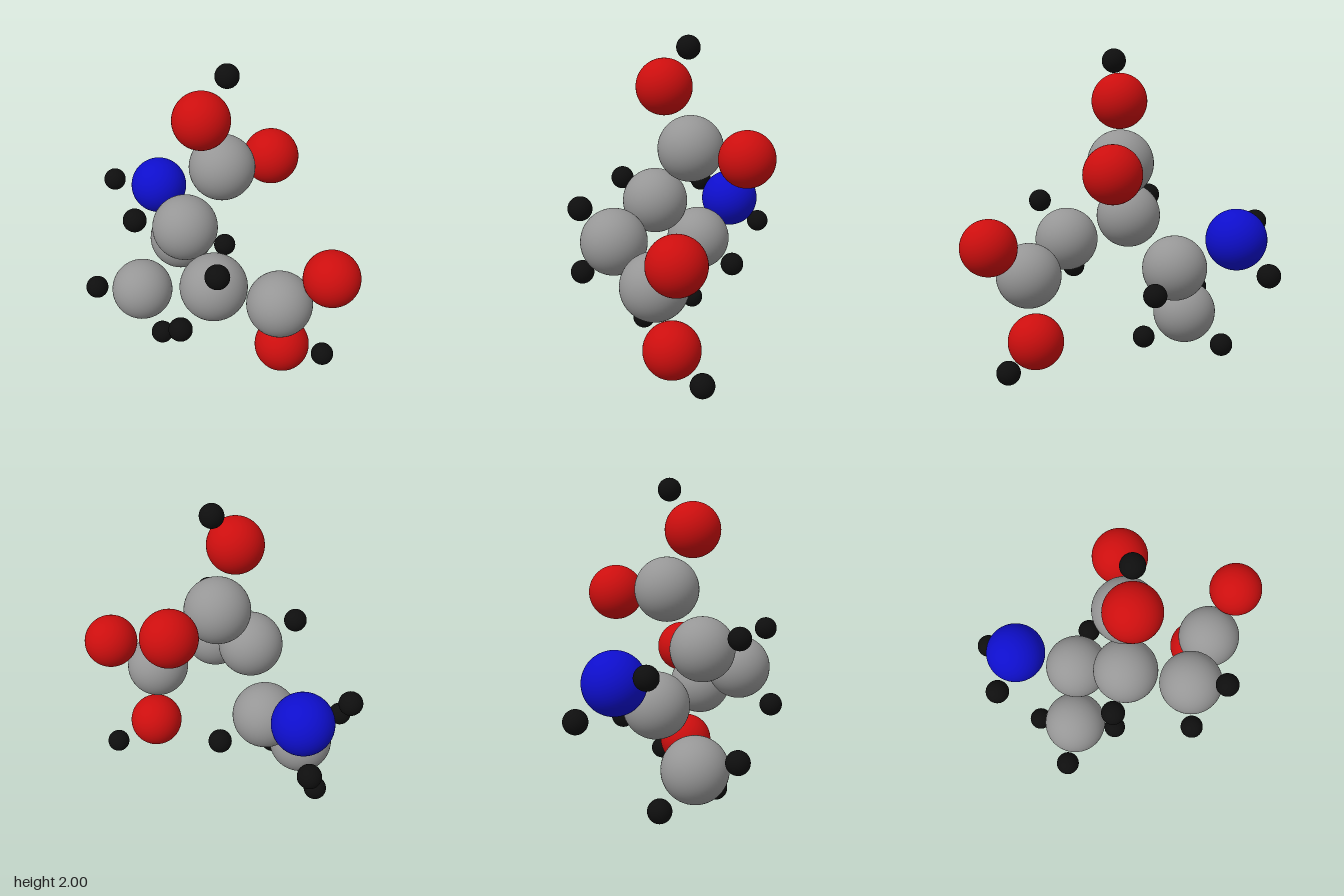
import * as THREE from 'three';

// radius and colour of each kind of atom
const KINDS = {
  carbon: { radius: 0.205, color: 0x969696 },
  oxygen: { radius: 0.175, color: 0xcc0e0e },
  nitrogen: { radius: 0.19, color: 0x0e0ecc },
  hydrogen: { radius: 0.073, color: 0x0e0e0e },
};

// atom centres, grouped by the part of the molecule they belong to
const PARTS = {
  upperAcidGroup: [
    ['carbon', 0.01, 1.31, -0.10],
    ['oxygen', 0.03, 1.685, 0.07],
    ['oxygen', 0.025, 1.275, -0.475],
    ['hydrogen', 0.05, 1.93, -0.10],
  ],
  centralGroup: [
    ['carbon', -0.02, 0.95, 0.16],
    ['hydrogen', -0.135, 1.05, 0.453],
  ],
  amineGroup: [
    ['carbon', -0.325, 0.64, -0.01],
    ['hydrogen', -0.215, 0.525, -0.297],
    ['nitrogen', -0.705, 0.84, -0.085],
    ['hydrogen', -0.835, 0.917, 0.187],
    ['hydrogen', -0.897, 0.643, -0.228],
  ],
  methylGroup: [
    ['carbon', -0.385, 0.29, 0.275],
    ['hydrogen', -0.463, 0.392, 0.577],
    ['hydrogen', -0.63, 0.097, 0.163],
    ['hydrogen', -0.115, 0.103, 0.293],
  ],
  methyleneGroup: [
    ['carbon', 0.395, 0.775, 0.238],
    ['hydrogen', 0.59, 1.015, 0.355],
    ['hydrogen', 0.38, 0.547, 0.472],
  ],
  sideAcidGroup: [
    ['carbon', 0.585, 0.60, -0.125],
    ['oxygen', 0.785, 0.815, -0.355],
    ['oxygen', 0.53, 0.20, -0.21],
    ['hydrogen', 0.655, 0.075, -0.458],
  ],
};

export function createModel() {
  const model = new THREE.Group();
  model.name = 'molecule';

  // one shared sphere and material per kind of atom
  const shared = {};
  for (const [kind, { radius, color }] of Object.entries(KINDS)) {
    shared[kind] = {
      geometry: new THREE.SphereGeometry(radius, 48, 32),
      material: new THREE.MeshStandardMaterial({ color }),
    };
  }

  for (const [name, atoms] of Object.entries(PARTS)) {
    const part = new THREE.Group();
    part.name = name;
    for (const [kind, x, y, z] of atoms) {
      const atom = new THREE.Mesh(shared[kind].geometry, shared[kind].material);
      atom.name = kind + 'Atom';
      atom.position.set(x, y, z);
      part.add(atom);
    }
    model.add(part);
  }
  return model;
}
